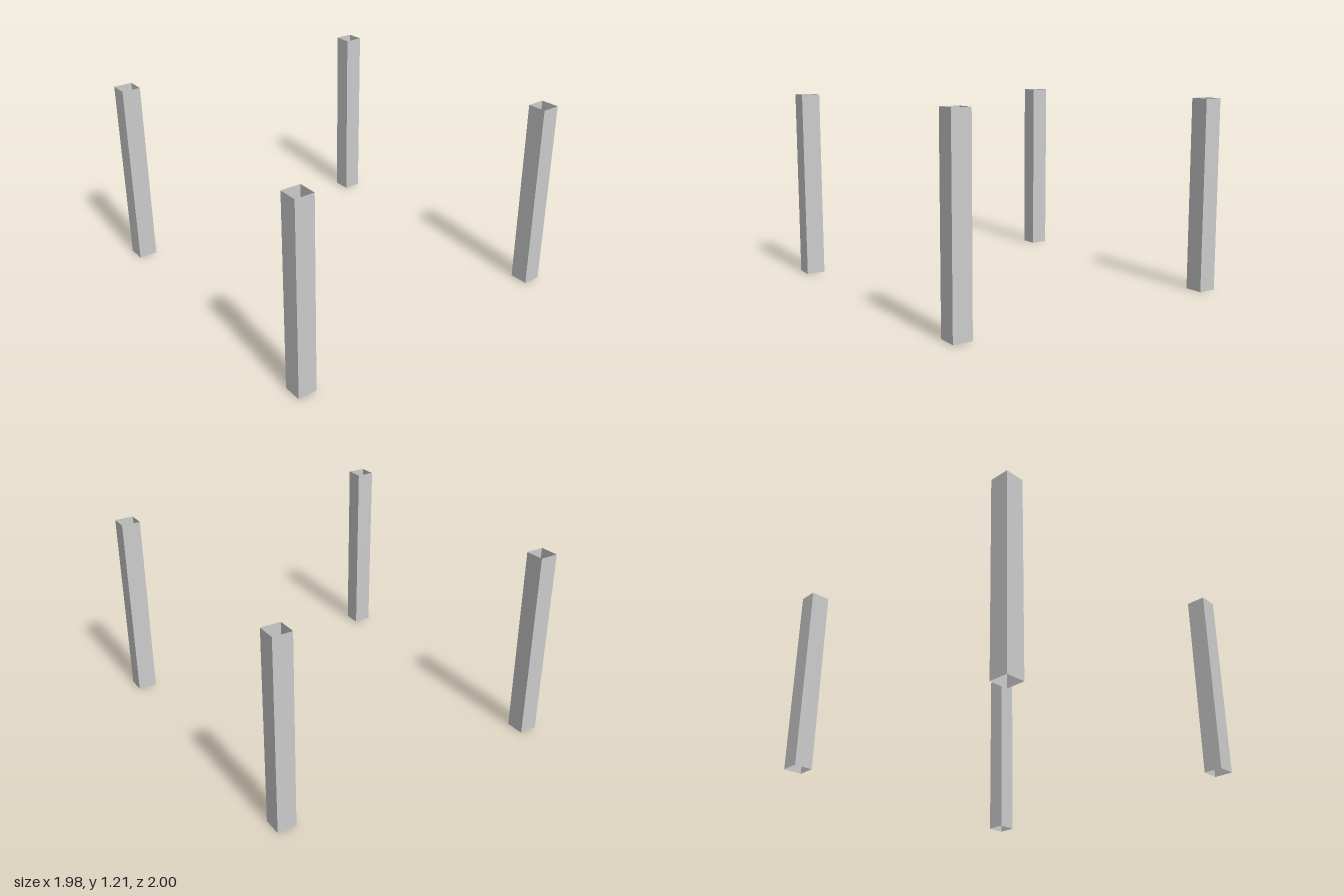
import * as THREE from 'three';

const WIDTH = 0.12;
const HEIGHT = 1.21;

export function createModel() {
  const group = new THREE.Group();
  const material = new THREE.MeshStandardMaterial({
    color: 0xcccccc, flatShading: true, side: THREE.DoubleSide,
  });

  // Square sleeve, open at top and bottom, sides parallel to the axes
  const sleeve = new THREE.CylinderGeometry(WIDTH / Math.SQRT2, WIDTH / Math.SQRT2, HEIGHT, 4, 1, true);
  sleeve.rotateY(Math.PI / 4);
  sleeve.translate(0, HEIGHT / 2, 0);

  // Four separate posts, slightly irregularly placed
  const posts = [
    ['frontLeftPost', 0.93, 0.004, 0.892],
    ['frontRightPost', -0.93, 0.004, 0.939],
    ['backLeftPost', 0.875, 0, -0.939],
    ['backRightPost', -0.93, 0.004, -0.939],
  ];
  for (const [name, x, y, z] of posts) {
    const post = new THREE.Mesh(sleeve, material);
    post.name = name;
    post.position.set(x, y, z);
    group.add(post);
  }
  return group;
}
